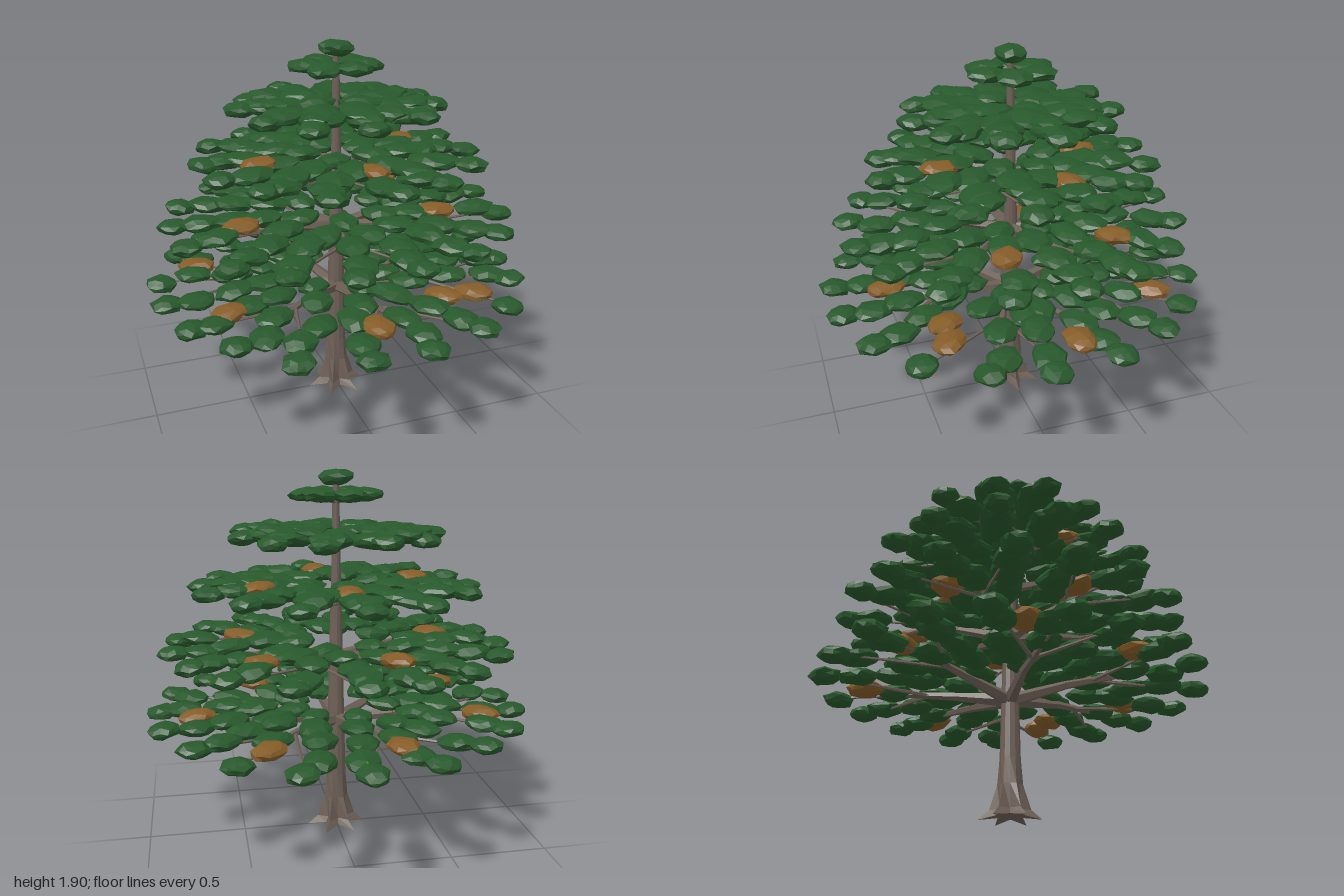
import * as THREE from 'three';
import { mergeGeometries } from 'three/addons/utils/BufferGeometryUtils.js';

// Tiers of foliage: pad height, outer radius, branch root height, tips, branch thickness, inner pad size
const TIERS = [
  { y: 0.667, R: 1.0, root: 0.605, tips: 19, thick: 0.036, turn: 0.08, size: 1 },
  { y: 1.012, R: 0.91, root: 0.95, tips: 17, thick: 0.032, turn: 0.3, size: 1.04 },
  { y: 1.317, R: 0.755, root: 1.25, tips: 14, thick: 0.028, turn: 0.15, size: 1.12 },
  { y: 1.577, R: 0.565, root: 1.52, tips: 11, thick: 0.022, turn: 0.4, size: 1.15 },
];
// Autumn pads: tier, x, z
const AUTUMN = [
  [0, 0.73, -0.09], [0, 0.56, 0.49], [0, 0.4, 0.47], [0, -0.65, 0.3],
  [0, -0.03, 0.67], [0, 0.42, -0.62], [0, -0.19, -0.68], [0, -0.69, -0.3],
  [1, -0.21, -0.46], [1, 0.42, -0.385], [1, 0.48, 0.18], [1, -0.52, 0.08],
  [2, -0.42, 0.08], [2, 0.045, 0.38], [2, 0.41, -0.14], [2, 0, -0.36],
];

let seed = 7;
const rand = () => (seed = (seed * 16807) % 2147483647) / 2147483647;
const vary = (a) => (rand() * 2 - 1) * a;

function facet(geometry) {
  const g = geometry.index ? geometry.toNonIndexed() : geometry;
  g.computeVertexNormals();
  return g;
}

// Flattened, lumpy leaf pad, stretched along the branch direction
function pad(x, y, z, length, width, height, angle) {
  const g = new THREE.IcosahedronGeometry(1, 1);
  const p = g.attributes.position;
  const phase = rand() * 6;
  for (let i = 0; i < p.count; i++) {
    const [a, b, c] = [p.getX(i), p.getY(i), p.getZ(i)];
    const k = 0.96 + 0.12 * Math.sin(a * 5 + b * 3 + phase) * Math.cos(c * 4 - phase);
    p.setXYZ(i, a * k, b * k, c * k);
  }
  g.rotateY(rand() * 6);
  g.scale(length, height, width);
  g.rotateZ(vary(0.12));
  g.rotateY(-angle);
  g.translate(x, y, z);
  return facet(g);
}

// Tapered five-sided limb between two points
function limb(a, b, r0, r1) {
  const d = b.clone().sub(a);
  const g = new THREE.CylinderGeometry(r1, r0, d.length(), 5);
  g.applyQuaternion(new THREE.Quaternion().setFromUnitVectors(
    new THREE.Vector3(0, 1, 0), d.clone().normalize()));
  g.translate((a.x + b.x) / 2, (a.y + b.y) / 2, (a.z + b.z) / 2);
  return facet(g);
}

const polar = (r, angle, y) => new THREE.Vector3(r * Math.cos(angle), y, r * Math.sin(angle));

function buildTier({ y, R, root, tips, thick, turn, size }, golden) {
  const leaves = [], wood = [];
  const step = (Math.PI * 2) / tips;
  // Green pads leave room for the autumn ones
  const addPad = (r, angle, length, width, height = 0.039) => {
    const q = polar(r, angle, y + 0.035 * (1 - r / R) + vary(0.01));
    if (golden.some(([, x, z]) => Math.hypot(x - q.x, z - q.z) < 0.075)) return;
    leaves.push(pad(q.x, q.y, q.z, length, width, height, angle + vary(0.3)));
  };

  // Outer tips, each with a wider pad just behind it
  for (let i = 0; i < tips; i++) {
    const a = turn + i * step;
    addPad(R - 0.082 + vary(0.01), a + vary(0.03), 0.084, 0.08);
    addPad(R - 0.215 + vary(0.03), a + vary(0.06), 0.105 * size, 0.085 * size);
  }

  // Main branches, each spreading to three tips
  for (let first = 0; first < tips; first += 3) {
    const last = Math.min(first + 2, tips - 1);
    const a = turn + ((first + last) / 2) * step;
    const bend = polar(R * 0.3, a + 0.04, y - 0.02);
    const fork = polar(R * 0.55, a, y);
    wood.push(limb(polar(0.01, a, root), bend, thick, thick * 0.6));
    wood.push(limb(bend, fork, thick * 0.6, thick * 0.4));
    for (let i = first; i <= last; i++) {
      const t = turn + i * step;
      const from = i * 2 === first + last ? fork : bend.clone().lerp(fork, 0.5);
      wood.push(limb(from, polar(R - 0.1, t, y), thick * 0.32, 0.004));
      addPad(R * 0.59 + vary(0.04), t + vary(0.04), 0.115 * size, 0.085 * size);
    }
    for (const s of [-0.75, 0.75]) {
      addPad(R * 0.42 + vary(0.03), a + s * step, 0.12 * size, 0.085 * size);
    }
    addPad(Math.max(R * 0.25, 0.14), a + vary(0.1), 0.1 * size, 0.075 * size);
  }
  return { leaves, wood };
}

// Trunk with six pointed root flares
function buildTrunk() {
  const profile = [[0, 0.02], [0.112, 0.004], [0.078, 0.05], [0.058, 0.17], [0.052, 0.3], [0.045, 0.6],
    [0.036, 0.97], [0.027, 1.3], [0.021, 1.55], [0.017, 1.86]].map(([r, h]) => new THREE.Vector2(r, h));
  const g = new THREE.LatheGeometry(profile, 12);
  const p = g.attributes.position;
  for (let i = 0; i < p.count; i++) {
    const x = p.getX(i), h = p.getY(i), z = p.getZ(i);
    const lobe = Math.cos(6 * Math.atan2(z, x));
    const k = 1 + 0.38 * lobe * Math.max(0, 1 - h / 0.22);
    p.setXYZ(i, x * k, h < 0.01 && lobe < 0 ? 0.02 : h, z * k);
  }
  return facet(g);
}

export function createModel() {
  const make = (name, color) => {
    const m = new THREE.MeshStandardMaterial({ color });
    m.name = name;
    return m;
  };
  const bark = make('bark', 0x6d5f56);
  const green = make('green leaves', 0x28582c);
  const gold = make('autumn leaves', 0x855c28);

  const tree = new THREE.Group();
  tree.name = 'tieredTree';
  const add = (parent, name, geometry, material) => {
    const mesh = new THREE.Mesh(geometry, material);
    mesh.name = name;
    parent.add(mesh);
  };
  add(tree, 'trunk', buildTrunk(), bark);

  // Four branching tiers
  TIERS.forEach((tier, t) => {
    const group = new THREE.Group();
    group.name = `tier${t + 1}`;
    const golden = AUTUMN.filter((s) => s[0] === t);
    const { leaves, wood } = buildTier(tier, golden);
    add(group, 'branches', mergeGeometries(wood), bark);
    add(group, 'leafPads', mergeGeometries(leaves), green);
    if (golden.length) {
      add(group, 'autumnPads', mergeGeometries(golden.map(([, x, z]) =>
        pad(x, tier.y + 0.024, z, 0.105, 0.078, 0.039, Math.atan2(z, x)))), gold);
    }
    tree.add(group);
  });

  // Small crown ring and top tuft
  const crown = [], twigs = [];
  for (let i = 0; i < 6; i++) {
    const a = 0.2 + (i * Math.PI) / 3;
    const q = polar(0.14, a, 1.78);
    crown.push(pad(q.x, q.y, q.z, 0.105, 0.09, 0.037, a));
    twigs.push(limb(polar(0.005, a, 1.74), q, 0.01, 0.005));
  }
  add(tree, 'crownTwigs', mergeGeometries(twigs), bark);
  add(tree, 'crownPads', mergeGeometries(crown), green);
  add(tree, 'topTuft', pad(0, 1.863, 0, 0.09, 0.08, 0.043, 0), green);
  return tree;
}
